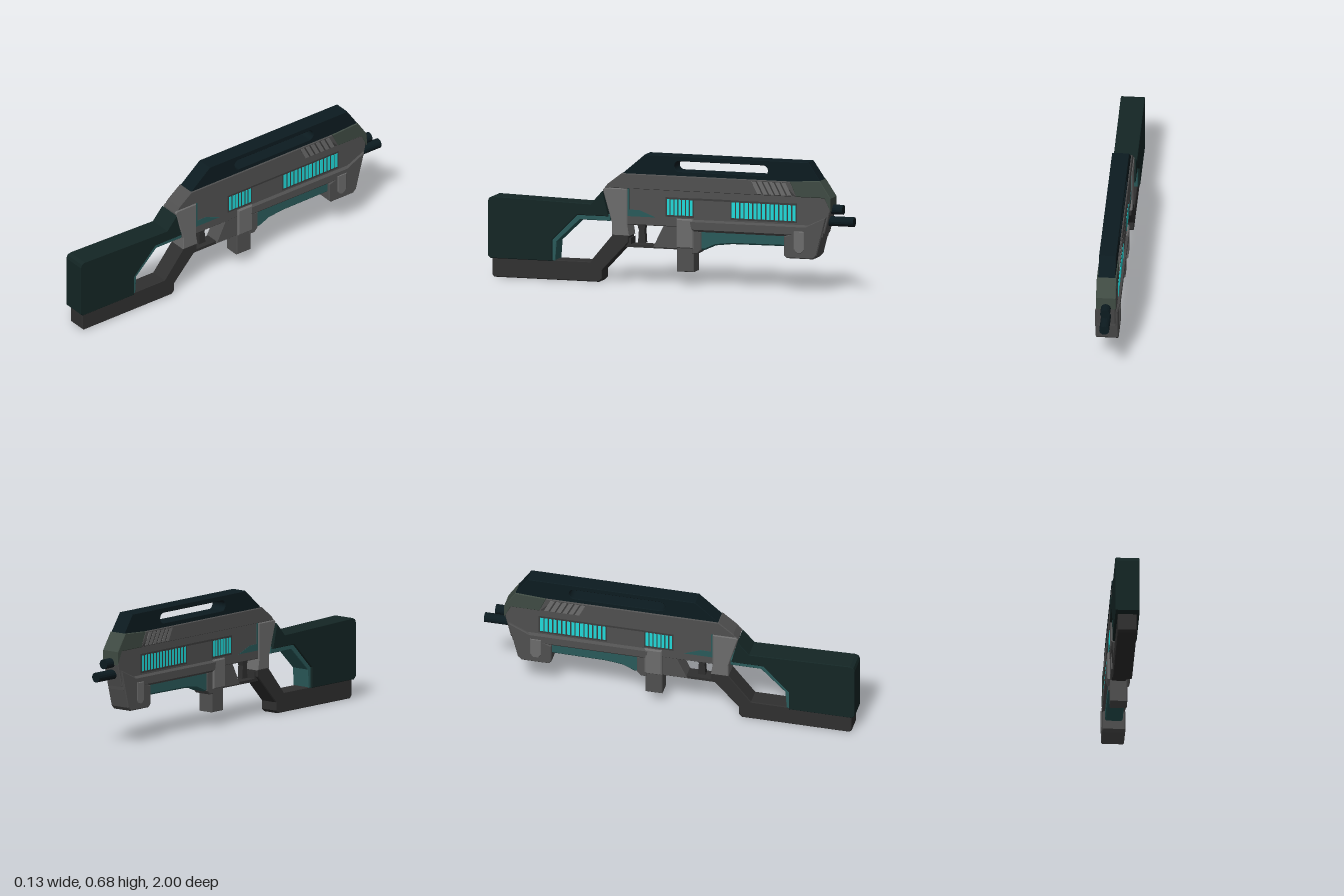
import * as THREE from 'three';

const mat = (color) => new THREE.MeshStandardMaterial({ color, flatShading: true });
const M = {
  body: mat(0x505050), light: mat(0x6c6c6c), dark: mat(0x303030), stock: mat(0x142625),
  top: mat(0x0c1b20), green: mat(0x3f4b43), teal: mat(0x2a5a5a), glow: mat(0x20dada), frame: mat(0x3c3c3c),
};

export function createModel() {
  const model = new THREE.Group();

  // Side profile of [z, y] points, extruded symmetrically across x with a bevel
  function profile(name, material, half, pts, bevel = 0, hole = null, x = 0) {
    const shape = new THREE.Shape(pts.map((p) => new THREE.Vector2(p[0], p[1])));
    if (hole) shape.holes.push(hole);
    const geo = new THREE.ExtrudeGeometry(shape, {
      depth: 2 * (half - bevel), bevelEnabled: bevel > 0, bevelThickness: bevel,
      bevelSize: bevel, bevelOffset: -bevel, bevelSegments: 1, curveSegments: 8,
    });
    geo.translate(0, 0, -(half - bevel));
    geo.rotateY(-Math.PI / 2);
    const mesh = new THREE.Mesh(geo, material);
    mesh.name = name;
    mesh.position.x = x;
    model.add(mesh);
  }
  const rect = (z0, z1, y0, y1) => [[z0, y0], [z1, y0], [z1, y1], [z0, y1]];

  // Shoulder stock, its inner lining and the lower rail
  profile('stock', M.stock, 0.063, [[0.985, 0.1], [1, 0.115], [1, 0.4], [0.993, 0.418], [0.975, 0.426],
    [0.433, 0.412], [0.37, 0.482], [0.337, 0.35], [0.508, 0.35], [0.647, 0.21], [0.647, 0.1]], 0.003);
  profile('stockLining', M.teal, 0.052, [[0.33, 0.36], [0.51, 0.36], [0.655, 0.21], [0.655, 0.1],
    [0.632, 0.1], [0.625, 0.2], [0.495, 0.325], [0.33, 0.325]], 0.003);
  profile('lowerRail', M.dark, 0.05, [[0.98, 0.105], [0.98, 0.012], [0.968, 0], [0.392, 0], [0.375, 0.016],
    [0.375, 0.06], [0.23, 0.215], [0.23, 0.255], [0.315, 0.255], [0.44, 0.105]], 0.004);

  // Main housing
  profile('body', M.body, 0.048, [[0.37, 0.49], [0.345, 0.52], [0.267, 0.578], [-0.82, 0.578], [-0.88, 0.5],
    [-0.88, 0.43], [-0.85, 0.31], [0.235, 0.31], [0.3, 0.33]], 0.004);
  profile('upperBand', M.body, 0.051, [[0.36, 0.5], [0.345, 0.52], [0.267, 0.58], [-0.66, 0.58], [-0.7, 0.5]], 0.004);
  profile('rearCollar', M.light, 0.055, [[0.37, 0.49], [0.36, 0.5], [0.235, 0.5], [0.235, 0.31], [0.225, 0.25],
    [0.32, 0.25], [0.32, 0.32]], 0.004);
  profile('noseCap', M.green, 0.052, [[-0.66, 0.58], [-0.825, 0.59], [-0.885, 0.5], [-0.885, 0.43],
    [-0.85, 0.5], [-0.695, 0.5]], 0.003);

  // Carry rail with a long rounded slot
  const slot = new THREE.Path();
  slot.absarc(-0.51, 0.63, 0.027, -Math.PI / 2, Math.PI / 2, true);
  slot.absarc(-0.05, 0.63, 0.027, Math.PI / 2, -Math.PI / 2, true);
  // The two arcs are reordered so the slot forms a simple loop
  slot.curves.length = 0;
  slot.absarc(-0.05, 0.63, 0.027, -Math.PI / 2, Math.PI / 2, false);
  slot.absarc(-0.51, 0.63, 0.027, Math.PI / 2, Math.PI * 1.5, false);
  profile('carryRail', M.top, 0.045, [[0.267, 0.576], [0.14, 0.684], [-0.76, 0.684], [-0.828, 0.585],
    [-0.66, 0.576]], 0.003, slot);

  // Lower fore end: ledge, nose block, side tabs and hand hold
  profile('ledge', M.body, 0.06, [[-0.1, 0.353], [-0.85, 0.353], [-0.84, 0.29], [-0.11, 0.29]], 0.012);
  profile('noseBlock', M.body, 0.06, [[-0.63, 0.29], [-0.63, 0.19], [-0.645, 0.176], [-0.79, 0.176],
    [-0.81, 0.195], [-0.862, 0.4], [-0.76, 0.353], [-0.685, 0.31]], 0.005);
  profile('sideTab', M.light, 0.063, [[-0.685, 0.32], [-0.685, 0.225], [-0.697, 0.208], [-0.714, 0.202],
    [-0.731, 0.208], [-0.743, 0.225], [-0.743, 0.32]], 0.003);
  profile('handHold', M.teal, 0.046, [[-0.16, 0.3], [-0.16, 0.195], [-0.19, 0.195], [-0.25, 0.222],
    [-0.34, 0.233], [-0.64, 0.236], [-0.685, 0.3]], 0.008);
  profile('handHoldStop', M.body, 0.05, [[-0.12, 0.3], [-0.12, 0.174], [-0.15, 0.174], [-0.172, 0.195], [-0.172, 0.29]], 0.004);

  // Magazine, trigger and guard
  profile('magazineWell', M.light, 0.06, rect(-0.037, -0.13, 0.2, 0.355), 0.006);
  profile('magazine', M.body, 0.045, rect(-0.037, -0.128, 0.075, 0.25), 0.004);
  profile('guardPlate', M.body, 0.045, [[0.096, 0.195], [0.037, 0.315], [-0.06, 0.315], [-0.06, 0.195]], 0.003);
  profile('guardBar', M.dark, 0.036, [[0.29, 0.23], [0.25, 0.19], [-0.05, 0.19], [-0.05, 0.205], [0.22, 0.205], [0.22, 0.24]]);
  profile('trigger', M.dark, 0.016, [[0.195, 0.32], [0.183, 0.28], [0.188, 0.212], [0.147, 0.212], [0.152, 0.28], [0.145, 0.32]]);

  // Lit windows with upright bars
  for (const [z0, z1, count] of [[0.02, -0.128, 7], [-0.337, -0.695, 15]]) {
    profile('windowFrame', M.frame, 0.0495, rect(z0 + 0.005, z1 - 0.005, 0.362, 0.465));
    const step = (z1 - z0) / count;
    for (let i = 0; i < count; i++) {
      const z = z0 + step * (i + 0.15);
      profile('windowBar', M.glow, 0.051, rect(z, z + step * 0.7, 0.372, 0.455));
    }
  }
  profile('panelGroove', M.frame, 0.0495, rect(-0.13, -0.335, 0.456, 0.466));
  profile('rearInset', M.teal, 0.0495, [[0.24, 0.5], [0.225, 0.5], [0.225, 0.39], [0.17, 0.39], [0.08, 0.355], [0.24, 0.355]]);

  // Slanted vent slats
  profile('ventPanel', M.frame, 0.052, [[-0.445, 0.573], [-0.622, 0.573], [-0.69, 0.505], [-0.485, 0.505]]);
  for (let i = 0; i < 6; i++) {
    const z = -0.448 - i * 0.033;
    profile('ventSlat', M.light, 0.0535, [[z, 0.572], [z - 0.024, 0.572], [z - 0.058, 0.506], [z - 0.034, 0.506]]);
  }

  // Two front tubes
  for (const [y, end] of [[0.437, -0.94], [0.375, -1]]) {
    const geo = new THREE.CylinderGeometry(0.026, 0.026, end + 1.2 > 0.23 ? 0.14 : 0.2, 16);
    geo.rotateX(Math.PI / 2);
    const tube = new THREE.Mesh(geo, M.top);
    tube.name = 'frontTube';
    tube.position.set(0, y, end + geo.parameters.height / 2);
    model.add(tube);
  }
  return model;
}
